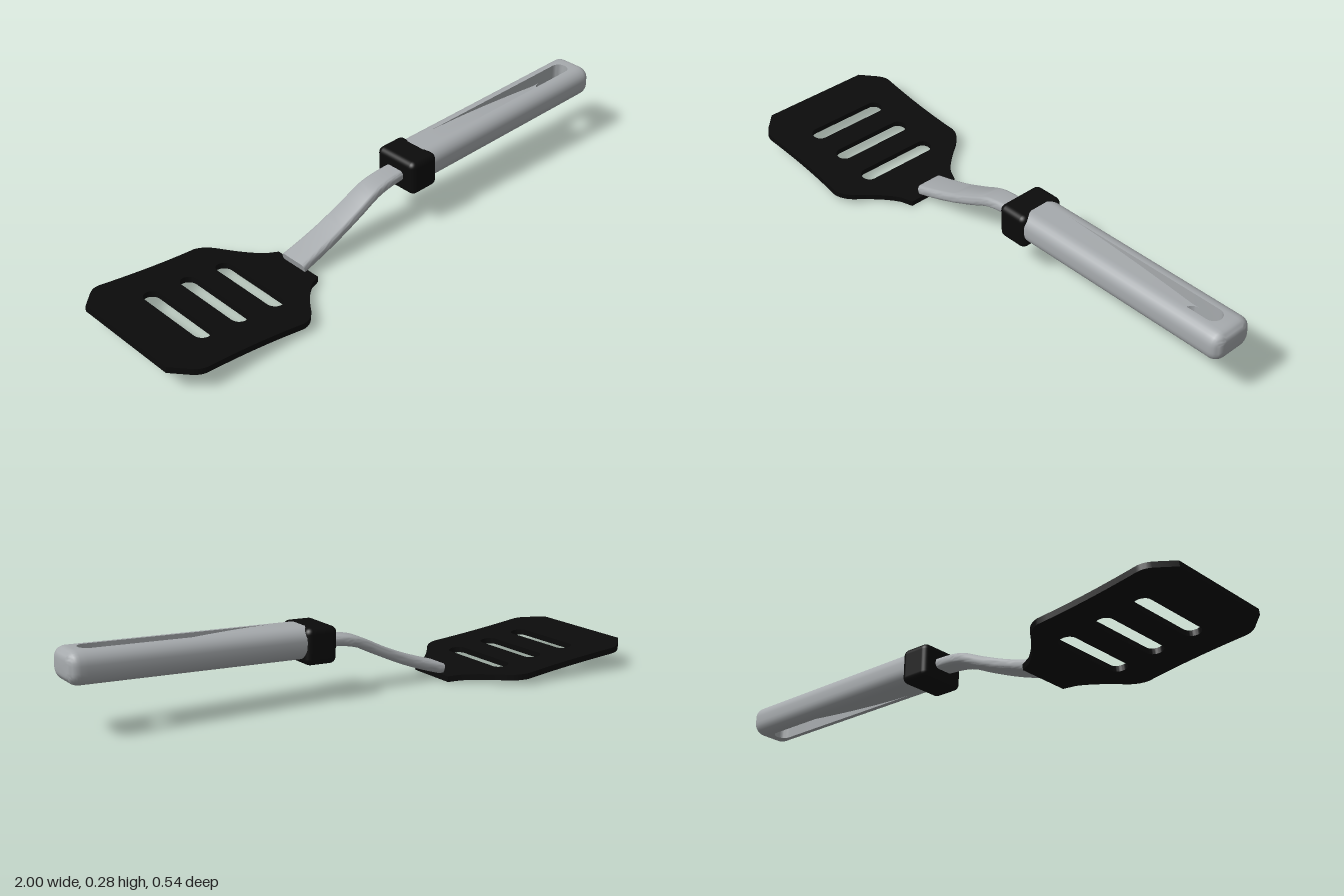
import * as THREE from 'three';
import { toCreasedNormals } from 'three/addons/utils/BufferGeometryUtils.js';
import { RoundedBoxGeometry } from 'three/addons/geometries/RoundedBoxGeometry.js';

const black = new THREE.MeshStandardMaterial({ color: 0x0b0b0b });
black.name = 'black nylon';
const grey = new THREE.MeshStandardMaterial({ color: 0xa6aaad });
grey.name = 'satin grey';

// Skin closed rings of [x, y, z] points, with a fan over each end
function loft(rings, out = [], flip = false) {
  const tri = (a, b, c) => out.push(...a, ...(flip ? [...c, ...b] : [...b, ...c]));
  const n = rings[0].length;
  const mid = (r) => [0, 1, 2].map((k) => (k === 2 && flip !== null && r.half ? 0 : r.reduce((s, p) => s + p[k], 0) / n));
  const first = rings[0], last = rings[rings.length - 1];
  const c0 = mid(first), c1 = mid(last);
  for (let j = 0; j < n; j++) {
    const k = (j + 1) % n;
    for (let i = 0; i < rings.length - 1; i++) {
      const a = rings[i], b = rings[i + 1];
      tri(a[j], a[k], b[j]);
      tri(a[k], b[k], b[j]);
    }
    tri(c0, first[k], first[j]);
    tri(c1, last[j], last[k]);
  }
  return out;
}

function toGeometry(positions, crease) {
  const g = new THREE.BufferGeometry();
  g.setAttribute('position', new THREE.Float32BufferAttribute(positions, 3));
  return toCreasedNormals(g, crease);
}

// Quarter arc in the +y +z corner of a rounded rectangle, as [y, z]
function corner(hy, hz, r, steps = 6) {
  const pts = [];
  for (let i = 0; i <= steps; i++) {
    const a = (i / steps) * Math.PI / 2;
    pts.push([hy - r + r * Math.cos(a), hz - r + r * Math.sin(a)]);
  }
  return pts;
}

// Half section of the handle: a grooved bar whose grooves run down to the hanging hole
function handleSection(x) {
  const W = 0.03, holeStart = 0.81, holeEnd = 0.945, endR = 0.033;
  const u = Math.max(0, (x - (1 - endR)) / endR);
  const inset = endR * (1 - Math.sqrt(Math.max(0, 1 - u * u)));
  const hy = 0.053 - inset, hz = 0.078 - inset;
  const arc = (d) => Math.sqrt(Math.max(0, W * W - d * d));
  const w = x < holeEnd - W ? W : x < holeEnd ? arc(x - holeEnd + W) : 0;
  const edge = x < holeStart ? 0 : x < holeStart + W ? arc(holeStart + W - x) : W;
  const t = Math.min(1, Math.max(0, (x - 0.28) / (holeStart - 0.28)));
  const web = Math.min(hy, 0.053 - 0.041 * Math.pow(t, 1.5));
  const top = [[web, Math.min(edge, w)], [web, w], [hy, w], ...corner(hy, hz, Math.max(0.042 - inset, 0.005))];
  const bottom = top.map(([y, z]) => [-y, z]).reverse();
  const ring = [...top, ...bottom].map(([y, z]) => [x, 0.19 + 0.034 * x + y, z]);
  ring.half = true;
  return ring;
}

function handleGeometry() {
  const xs = [0.17];
  for (let i = 0; i <= 20; i++) xs.push(0.28 + 0.53 * i / 20);
  const quarter = [1, 2, 3, 4, 5, 6].map((i) => i / 6 * Math.PI / 2);
  quarter.forEach((a) => xs.push(0.84 - 0.03 * Math.cos(a)));
  xs.push(0.915);
  quarter.forEach((a) => xs.push(0.915 + 0.03 * Math.sin(a)));
  xs.push(0.967);
  quarter.forEach((a) => xs.push(0.967 + 0.033 * Math.sin(a)));
  const rings = xs.map(handleSection);
  const mirrored = rings.map((r) => {
    const m = r.map(([x, y, z]) => [x, y, -z]);
    m.half = true;
    return m;
  });
  const out = loft(rings);
  loft(mirrored, out, true);
  return toGeometry(out, 0.6);
}

// Flat bar that bends up from the blade and narrows into the collar
function neckGeometry() {
  const path = new THREE.CatmullRomCurve3([
    [-0.35, 0.033], [-0.28, 0.055], [-0.2, 0.084], [-0.1, 0.128], [-0.02, 0.166],
    [0.03, 0.178], [0.1, 0.185], [0.15, 0.189],
  ].map(([x, y]) => new THREE.Vector3(x, y, 0)));
  const rings = [];
  for (let i = 0; i <= 28; i++) {
    const p = path.getPoint(i / 28), d = path.getTangent(i / 28);
    const hz = THREE.MathUtils.lerp(0.053, 0.037, i / 28);
    const q = corner(0.018, hz, 0.014, 4);
    const right = [...q, ...q.map(([y, z]) => [-y, z]).reverse()];
    const section = [...right, ...right.map(([y, z]) => [y, -z]).reverse()];
    rings.push(section.map(([y, z]) => [p.x - d.y * y, p.y + d.x * y, z]));
  }
  return toGeometry(loft(rings), 0.6);
}

// Slotted plate, drawn in plan about its own centre
function bladeGeometry() {
  const s = new THREE.Shape();
  s.moveTo(-0.335, -0.2);
  s.lineTo(-0.285, -0.25);
  s.quadraticCurveTo(-0.262, -0.272, -0.235, -0.27);
  s.quadraticCurveTo(-0.04, -0.258, 0.125, -0.27);
  s.quadraticCurveTo(0.165, -0.265, 0.195, -0.22);
  s.quadraticCurveTo(0.25, -0.145, 0.297, -0.112);
  s.lineTo(0.335, -0.096);
  s.lineTo(0.335, 0.096);
  s.lineTo(0.297, 0.112);
  s.quadraticCurveTo(0.25, 0.145, 0.195, 0.22);
  s.quadraticCurveTo(0.165, 0.265, 0.125, 0.27);
  s.quadraticCurveTo(-0.04, 0.258, -0.235, 0.27);
  s.quadraticCurveTo(-0.262, 0.272, -0.285, 0.25);
  s.lineTo(-0.335, 0.2);
  s.closePath();
  for (const x of [-0.147, -0.007, 0.133]) {
    const slot = new THREE.Path();
    slot.absarc(x, 0.122, 0.029, 0, Math.PI, false);
    slot.absarc(x, -0.122, 0.029, Math.PI, Math.PI * 2, false);
    slot.closePath();
    s.holes.push(slot);
  }
  const g = new THREE.ExtrudeGeometry(s, { depth: 0.02, bevelEnabled: false, curveSegments: 10 });
  g.translate(0, 0, -0.01);
  g.rotateX(Math.PI / 2);
  return toCreasedNormals(g, 0.6);
}

export function createModel() {
  const model = new THREE.Group();
  model.name = 'slottedTurner';
  const add = (name, geometry, material) => {
    const m = new THREE.Mesh(geometry, material);
    m.name = name;
    model.add(m);
    return m;
  };

  const blade = add('blade', bladeGeometry(), black);
  blade.position.set(-0.666, 0.0445, 0);
  blade.rotation.z = -0.102;

  add('neck', neckGeometry(), grey);

  const collar = add('collar', new RoundedBoxGeometry(0.115, 0.123, 0.172, 4, 0.022), black);
  collar.position.set(0.153, 0.187, 0);
  collar.rotation.z = 0.034;

  add('handle', handleGeometry(), grey);
  return model;
}
